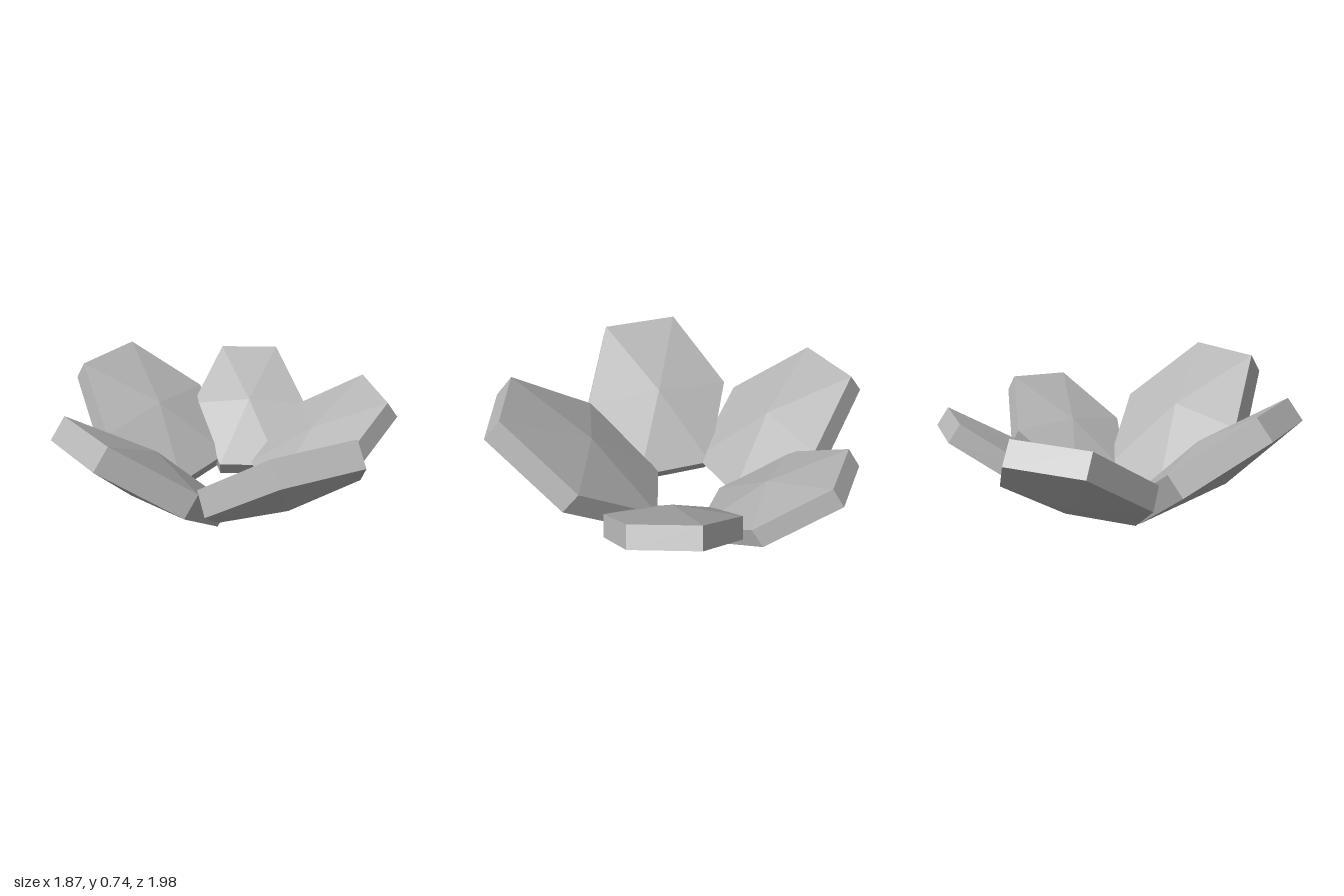
import * as THREE from 'three';

const stone = new THREE.MeshStandardMaterial({ color: 0xb4b4b4, flatShading: true });
stone.name = 'paleGrey';

// c: centre of the underside, dir: outward heading [x, z], reach and rise: half extents
// along the petal, w: half width, t: thickness, roll: sideways tilt
const petals = [
  { name: 'frontPetal', c: [0.055, 0.333, 0.62], dir: [-0.04, 1], reach: 0.378, rise: 0.308, w: 0.415, t: 0.137, roll: 0.04 },
  { name: 'leftPetal', c: [0.59, 0.258, 0.1], dir: [0.986, 0.155], reach: 0.325, rise: 0.235, w: 0.345, t: 0.115, roll: 0.07 },
  { name: 'backLeftPetal', c: [0.377, 0.258, -0.475], dir: [0.42, -0.91], reach: 0.335, rise: 0.232, w: 0.33, t: 0.11, roll: 0 },
  { name: 'backRightPetal', c: [-0.235, 0.28, -0.563], dir: [-0.45, -0.89], reach: 0.367, rise: 0.256, w: 0.39, t: 0.13, roll: -0.05 },
  { name: 'rightPetal', c: [-0.54, 0.3, 0.155], dir: [-0.97, 0.24], reach: 0.352, rise: 0.282, w: 0.408, t: 0.135, roll: 0 },
];

// Stretched hexagonal plate with a shallow point in the middle of both faces
function petalGeometry({ c, dir, reach, rise, w, t, roll }) {
  const [dx, dz] = new THREE.Vector2(...dir).normalize().toArray();
  const along = new THREE.Vector3(dx * reach, rise, dz * reach);
  const across = new THREE.Vector3(dz, roll, -dx).normalize().multiplyScalar(w);
  const normal = along.clone().cross(across).normalize();
  const centre = new THREE.Vector3(...c);
  const bottom = [], top = [];
  for (let k = 0; k < 6; k++) {
    const a = (k * Math.PI) / 3;
    const p = centre.clone()
      .addScaledVector(across, Math.cos(a))
      .addScaledVector(along, Math.sin(a) / Math.sin(Math.PI / 3));
    bottom.push(p);
    top.push(p.clone().addScaledVector(normal, t));
  }
  const bulge = 0.15 * w;
  const under = centre.clone().addScaledVector(normal, -bulge);
  const over = centre.clone().addScaledVector(normal, t + bulge);

  const points = [];
  for (let k = 0; k < 6; k++) {
    const n = (k + 1) % 6;
    points.push(over, top[n], top[k]);
    points.push(under, bottom[k], bottom[n]);
    points.push(bottom[n], bottom[k], top[k], bottom[n], top[k], top[n]);
  }
  const geometry = new THREE.BufferGeometry().setFromPoints(points);
  geometry.computeVertexNormals();
  return geometry;
}

export function createModel() {
  const group = new THREE.Group();
  group.name = 'flower';
  for (const petal of petals) {
    const mesh = new THREE.Mesh(petalGeometry(petal), stone);
    mesh.name = petal.name;
    group.add(mesh);
  }
  return group;
}
